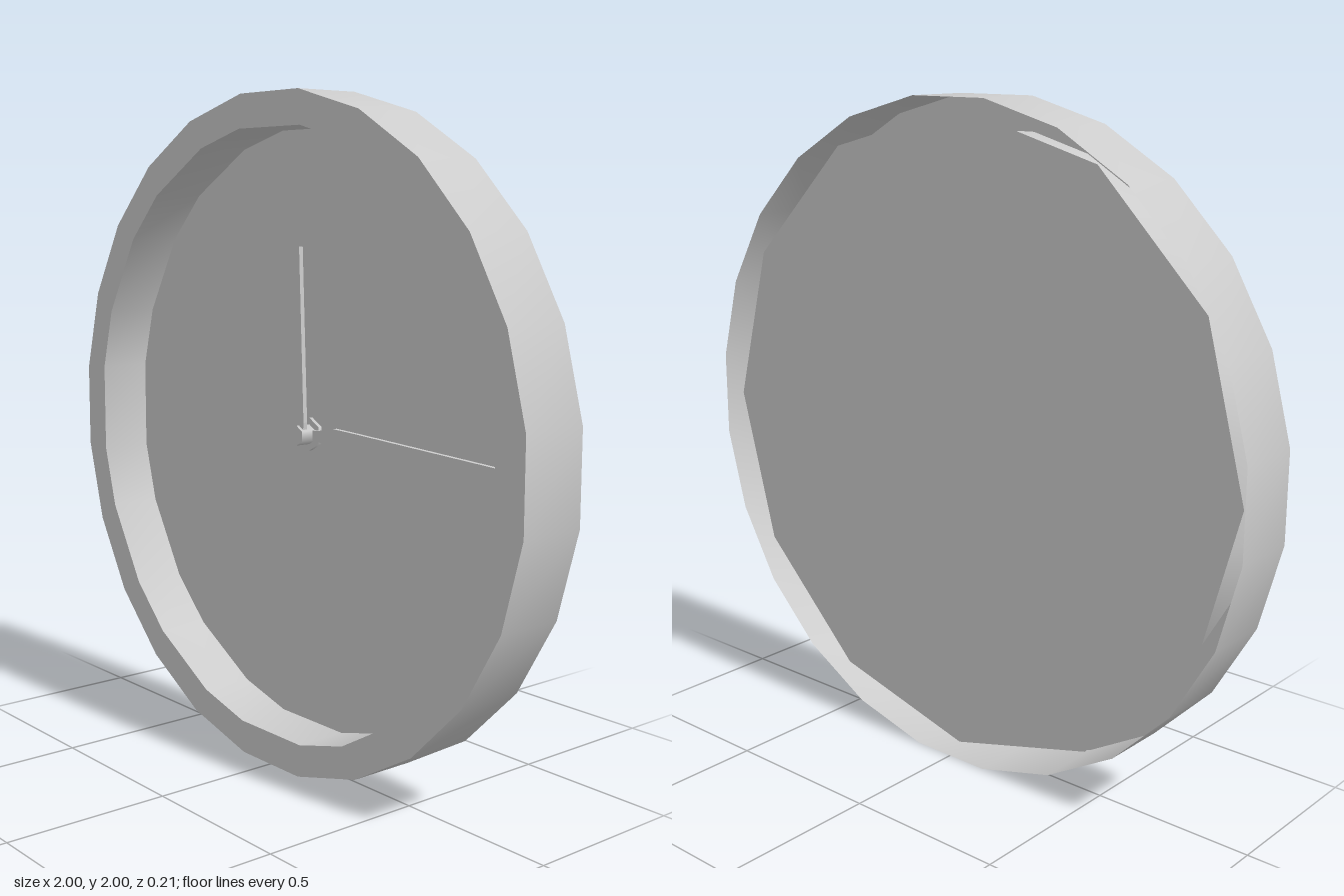
import * as THREE from 'three';

const grey = new THREE.MeshStandardMaterial({ color: 0xcccccc });
const greyBoth = new THREE.MeshStandardMaterial({ color: 0xcccccc, side: THREE.DoubleSide });
const FRONT = 0.105, BACK = -0.105, DIAL = -0.06;
const rad = THREE.MathUtils.degToRad;

function addMesh(parent, name, geometry, material = grey) {
  const mesh = new THREE.Mesh(geometry, material);
  mesh.name = name;
  parent.add(mesh);
  return mesh;
}

// 24 points in pairs either side of every 30 degrees
function ringPoints(radius, spread) {
  const points = [];
  for (let k = 0; k < 12; k++) {
    for (const side of [-1, 1]) {
      const a = rad(30 * k + side * spread);
      points.push(new THREE.Vector2(radius * Math.cos(a), radius * Math.sin(a)));
    }
  }
  return points;
}

// Smooth closed wall following a loop of points between two depths
function wall(points, zFront, zBack) {
  const positions = [], index = [], n = points.length;
  points.forEach((p, i) => {
    positions.push(p.x, p.y, zFront, p.x, p.y, zBack);
    const a = 2 * i, d = 2 * ((i + 1) % n);
    index.push(a, a + 1, d + 1, a, d + 1, d);
  });
  const geometry = new THREE.BufferGeometry();
  geometry.setAttribute('position', new THREE.Float32BufferAttribute(positions, 3));
  geometry.setIndex(index);
  geometry.computeVertexNormals();
  return geometry;
}

// Thin tapered hand pointing along +x, mirrored about its axis
function handGeometry(half, length, z) {
  const outline = [
    ...half.map(([x, y]) => new THREE.Vector2(x, -y)),
    new THREE.Vector2(length, 0),
    ...half.map(([x, y]) => new THREE.Vector2(x, y)).reverse(),
  ];
  const geometry = new THREE.ExtrudeGeometry(new THREE.Shape(outline), { depth: 0.014, bevelEnabled: false });
  return geometry.translate(0, 0, z);
}

// Six-sided peg standing on the dial
function peg(radius, depth) {
  return new THREE.CylinderGeometry(radius, radius, depth, 6)
    .rotateX(Math.PI / 2)
    .translate(0, 0, DIAL + depth / 2);
}

export function createModel() {
  const clock = new THREE.Group();
  clock.name = 'wallClock';
  const body = new THREE.Group();
  body.name = 'clockBody';
  body.position.y = 1;
  clock.add(body);

  // Hollow rim, open at the back
  const rim = new THREE.Group();
  rim.name = 'rim';
  body.add(rim);
  const outer = ringPoints(1 / Math.cos(rad(7.5)), 7.5);
  const inner = ringPoints(0.911, 8.8);
  const face = new THREE.Shape(outer);
  face.holes.push(new THREE.Path(inner));
  addMesh(rim, 'rimFront', new THREE.ShapeGeometry(face).translate(0, 0, FRONT), greyBoth);
  addMesh(rim, 'rimOuterWall', wall(outer, FRONT, BACK), greyBoth);
  addMesh(rim, 'rimInnerWall', wall([...inner].reverse(), FRONT, DIAL), greyBoth);

  // Twelve-sided dial set inside the rim
  addMesh(body, 'dial', new THREE.CircleGeometry(0.97, 12).translate(0, 0, DIAL), greyBoth);

  // Hub and hands
  addMesh(body, 'hubBase', peg(0.05, 0.012));
  addMesh(body, 'hubShaft', peg(0.03, 0.062));
  addMesh(body, 'longHand', handGeometry([[0, 0.014], [0.05, 0.016], [0.12, 0.03], [0.2, 0.027]], 0.79, -0.052));
  const shortHand = addMesh(body, 'shortHand', handGeometry([[0, 0.018], [0.04, 0.021]], 0.56, -0.022));
  shortHand.rotation.z = Math.PI / 2;

  return clock;
}
